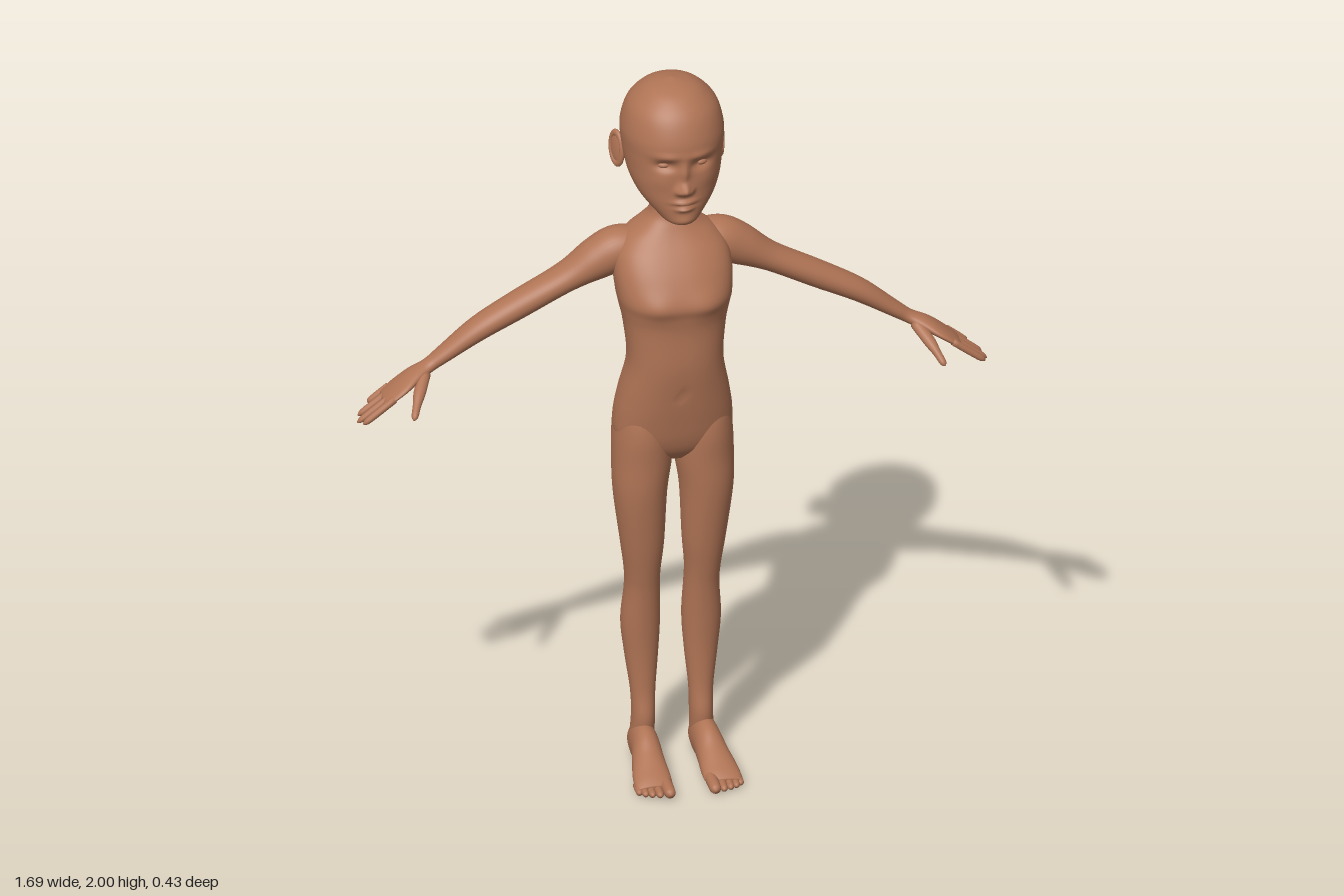
import * as THREE from 'three';

const skin = new THREE.MeshStandardMaterial({ color: 0xb07455 });
skin.name = 'skin';

// Smoothly subdivide a list of numeric rows (Catmull-Rom on every column)
function smooth(rows, sub) {
  const out = [], at = i => rows[Math.min(rows.length - 1, Math.max(0, i))];
  for (let i = 0; i < rows.length - 1; i++)
    for (let s = 0; s < sub; s++) {
      const t = s / sub;
      out.push(rows[i].map((p1, k) => {
        const p0 = at(i - 1)[k], p2 = at(i + 1)[k], p3 = at(i + 2)[k];
        return p1 + 0.5 * t * (p2 - p0 + t * (2 * p0 - 5 * p1 + 4 * p2 - p3 + t * (3 * (p1 - p2) + p3 - p0)));
      }));
    }
  out.push(rows[rows.length - 1]);
  return out;
}

// Skin a stack of rings, closing both ends with fans
function skinRings(rings) {
  const n = rings[0].length, pos = [], idx = [];
  rings.forEach(r => r.forEach(p => pos.push(p.x, p.y, p.z)));
  for (let i = 0; i < rings.length - 1; i++)
    for (let j = 0; j < n; j++) {
      const a = i * n + j, b = i * n + (j + 1) % n;
      idx.push(a, a + n, b, b, a + n, b + n);
    }
  [0, rings.length - 1].forEach((i, end) => {
    const c = new THREE.Vector3();
    rings[i].forEach(p => c.addScaledVector(p, 1 / n));
    const ci = pos.length / 3;
    pos.push(c.x, c.y, c.z);
    for (let j = 0; j < n; j++) {
      const a = i * n + j, b = i * n + (j + 1) % n;
      end ? idx.push(ci, b, a) : idx.push(ci, a, b);
    }
  });
  const g = new THREE.BufferGeometry();
  g.setAttribute('position', new THREE.Float32BufferAttribute(pos, 3));
  g.setIndex(idx);
  g.computeVertexNormals();
  return g;
}

// Upright loft; rows are [y, centre x, half width, front z, back z]
function upright(rows, n, sub, power = 1, sculpt = null) {
  const soft = v => Math.sign(v) * Math.abs(v) ** power;
  return skinRings(smooth(rows, sub).map(([y, cx, w, zf, zb]) =>
    Array.from({ length: n }, (_, j) => {
      const a = j / n * Math.PI * 2;
      const p = new THREE.Vector3(cx + w * soft(Math.cos(a)), y, (zf + zb) / 2 + (zf - zb) / 2 * soft(Math.sin(a)));
      if (sculpt) sculpt(p, Math.sin(a));
      return p;
    })));
}

// Loft along a path; rows are [x, y, z, radius across, radius along ref]
function limb(rows, ref, n = 24, sub = 5) {
  const pts = smooth(rows, sub);
  const c = pts.map(r => new THREE.Vector3(r[0], r[1], r[2]));
  return skinRings(pts.map((r, i) => {
    const d = c[Math.min(i + 1, c.length - 1)].clone().sub(c[Math.max(i - 1, 0)]).normalize();
    const v = ref.clone().addScaledVector(d, -ref.dot(d)).normalize();
    const u = d.clone().cross(v);
    return Array.from({ length: n }, (_, j) => {
      const a = j / n * Math.PI * 2;
      const p = c[i].clone().addScaledVector(u, r[3] * Math.cos(a)).addScaledVector(v, r[4] * Math.sin(a));
      p.y = Math.max(0, p.y);
      return p;
    });
  }));
}

// Finger or toe with a rounded tip
function digit(from, to, r, ref) {
  const steps = [[0, 1], [0.45, 1], [0.8, 0.93], [0.93, 0.68], [1, 0.15]];
  return limb(steps.map(([t, k]) => [...from.map((f, i) => f + (to[i] - f) * t), r * k, r * k]), ref, 12, 3);
}

const bell = (x, y, sx, sy) => Math.exp(-((x / sx) ** 2) - (y / sy) ** 2);

// Facial relief: [x, y, spread x, spread y, depth], mirrored when x > 0
const face = [
  [0.045, 1.838, 0.035, 0.01, 0.006], [0.048, 1.81, 0.027, 0.014, -0.016],
  [0, 1.79, 0.012, 0.032, 0.012], [0, 1.745, 0.015, 0.016, 0.028], [0.017, 1.739, 0.009, 0.009, 0.011],
  [0, 1.705, 0.026, 0.007, 0.014], [0, 1.697, 0.03, 0.003, -0.007], [0, 1.687, 0.021, 0.007, 0.014],
  [0, 1.65, 0.025, 0.012, 0.004], [0.065, 1.765, 0.03, 0.025, 0.004],
];
function sculptFace(p, front) {
  if (front <= 0) return;
  let dz = 0;
  for (const [x, y, sx, sy, d] of face)
    dz += d * (bell(p.x - x, p.y - y, sx, sy) + (x > 0 ? bell(p.x + x, p.y - y, sx, sy) : 0));
  p.z += dz * Math.min(1, front * 1.5);
}

// Chest swell, spine groove and seat cleft
function sculptTorso(p, front) {
  if (front > 0) {
    p.z += 0.008 * (bell(p.x - 0.07, p.y - 1.385, 0.045, 0.035) + bell(p.x + 0.07, p.y - 1.385, 0.045, 0.035));
    p.z -= 0.006 * bell(p.x, p.y - 1.12, 0.012, 0.012);
  } else {
    p.z += 0.014 * bell(p.x, p.y - 1.32, 0.022, 0.16) + 0.025 * bell(p.x, p.y - 0.97, 0.014, 0.08);
  }
}

export function createModel() {
  const model = new THREE.Group();
  model.name = 'figure';
  const add = (name, geo) => {
    const m = new THREE.Mesh(geo, skin);
    m.name = name;
    model.add(m);
  };
  // Add a part on the left (+x) and its mirror on the right
  const pair = (name, geo) => {
    add('left' + name, geo);
    const g = geo.clone().scale(-1, 1, 1), ix = g.index.array;
    for (let i = 0; i < ix.length; i += 3) [ix[i], ix[i + 1]] = [ix[i + 1], ix[i]];
    g.computeVertexNormals();
    add('right' + name, g);
  };
  const Y = new THREE.Vector3(0, 1, 0), Z = new THREE.Vector3(0, 0, 1);

  add('torsoAndNeck', upright([
    [0.9, 0, 0.05, 0, -0.08], [0.93, 0, 0.115, 0.028, -0.12], [0.97, 0, 0.155, 0.045, -0.147],
    [1.03, 0, 0.157, 0.058, -0.155], [1.1, 0, 0.146, 0.07, -0.147], [1.2, 0, 0.127, 0.083, -0.126],
    [1.3, 0, 0.135, 0.083, -0.14], [1.35, 0, 0.145, 0.088, -0.155], [1.39, 0, 0.153, 0.093, -0.163],
    [1.45, 0, 0.157, 0.066, -0.17], [1.5, 0, 0.148, 0.033, -0.172], [1.54, 0, 0.12, 0, -0.168],
    [1.57, 0, 0.08, -0.02, -0.155], [1.6, 0, 0.054, -0.034, -0.138], [1.65, 0, 0.048, -0.036, -0.13],
    [1.73, 0, 0.048, -0.03, -0.13],
  ], 80, 5, 0.85, sculptTorso));

  add('head', upright([
    [1.63, 0, 0.02, 0.078, 0.03], [1.64, 0, 0.045, 0.096, -0.02], [1.66, 0, 0.066, 0.1, -0.06],
    [1.7, 0, 0.1, 0.1, -0.125], [1.74, 0, 0.119, 0.099, -0.168], [1.78, 0, 0.128, 0.098, -0.195],
    [1.82, 0, 0.133, 0.1, -0.21], [1.87, 0, 0.135, 0.099, -0.214], [1.93, 0, 0.119, 0.076, -0.188],
    [1.97, 0, 0.085, 0.038, -0.15], [1.99, 0, 0.05, -0.003, -0.11], [2, 0, 0.004, -0.05, -0.06],
  ], 144, 8, 0.96, sculptFace));

  pair('Eye', new THREE.SphereGeometry(1, 24, 16).scale(0.021, 0.0115, 0.02).translate(0.048, 1.809, 0.062));

  // Ears: a cupped disc with a raised rim
  const placeEar = g => g.rotateY(Math.PI / 2 - 0.4).rotateX(-0.2).translate(0.139, 1.784, -0.098);
  pair('EarRim', placeEar(new THREE.TorusGeometry(0.03, 0.007, 12, 32).scale(0.85, 1.4, 1)));
  pair('EarBowl', placeEar(new THREE.SphereGeometry(1, 24, 16).scale(0.025, 0.042, 0.007)));

  // Arms, running into the palm
  pair('Arm', limb([
    [0.06, 1.5, -0.095, 0.04, 0.05], [0.13, 1.49, -0.1, 0.06, 0.062], [0.19, 1.463, -0.103, 0.056, 0.06],
    [0.275, 1.415, -0.105, 0.038, 0.051], [0.4, 1.35, -0.104, 0.036, 0.046], [0.51, 1.292, -0.101, 0.031, 0.041],
    [0.6, 1.23, -0.1, 0.022, 0.031], [0.645, 1.2, -0.097, 0.018, 0.026], [0.69, 1.18, -0.085, 0.018, 0.038],
    [0.73, 1.157, -0.073, 0.014, 0.049], [0.765, 1.133, -0.07, 0.01, 0.047], [0.775, 1.126, -0.07, 0.003, 0.04],
  ], Z, 36, 6));
  [[-0.11, 0.806, 1.1, -0.113], [-0.083, 0.838, 1.08, -0.083], [-0.056, 0.846, 1.074, -0.054], [-0.03, 0.836, 1.081, -0.027]]
    .forEach(([z, ...tip], i) => pair('Finger' + (i + 1), digit([0.75, 1.144, z], tip, 0.0095, Z)));
  pair('Thumb', limb([
    [0.66, 1.187, -0.075, 0.014, 0.016], [0.685, 1.157, -0.025, 0.014, 0.016], [0.699, 1.136, 0.005, 0.011, 0.011],
    [0.71, 1.118, 0.03, 0.009, 0.009], [0.714, 1.112, 0.038, 0.002, 0.002],
  ], new THREE.Vector3(1, 0, 0), 16, 4));

  pair('Leg', upright([
    [0.04, 0.082, 0.033, -0.03, -0.1], [0.12, 0.078, 0.031, -0.012, -0.097], [0.2, 0.078, 0.033, -0.022, -0.096],
    [0.3, 0.08, 0.044, -0.024, -0.112], [0.4, 0.082, 0.052, -0.018, -0.125], [0.5, 0.08, 0.047, -0.008, -0.113],
    [0.56, 0.081, 0.048, 0.002, -0.106], [0.65, 0.083, 0.058, 0.018, -0.108], [0.8, 0.089, 0.071, 0.038, -0.125],
    [0.9, 0.083, 0.079, 0.043, -0.141], [0.98, 0.082, 0.077, 0.046, -0.155], [1.05, 0.08, 0.07, 0.035, -0.15],
    [1.12, 0.075, 0.05, 0, -0.1],
  ], 40, 5, 0.95));

  pair('Foot', limb([
    [0.082, 0.036, -0.106, 0.012, 0.018], [0.082, 0.038, -0.095, 0.029, 0.037], [0.082, 0.05, -0.05, 0.036, 0.06],
    [0.083, 0.054, 0, 0.038, 0.057], [0.087, 0.04, 0.05, 0.043, 0.043], [0.091, 0.027, 0.1, 0.049, 0.031],
    [0.093, 0.019, 0.14, 0.05, 0.02], [0.093, 0.014, 0.162, 0.044, 0.01],
  ], Y, 36, 5));
  [[0.061, 0.211, 0.0165], [0.086, 0.2, 0.011], [0.105, 0.193, 0.0105], [0.122, 0.185, 0.01], [0.136, 0.172, 0.0095]]
    .forEach(([x, z, r], i) => pair('Toe' + (i + 1), digit([x, r + 0.004, 0.125], [x, r, z], r, Y)));

  return model;
}
